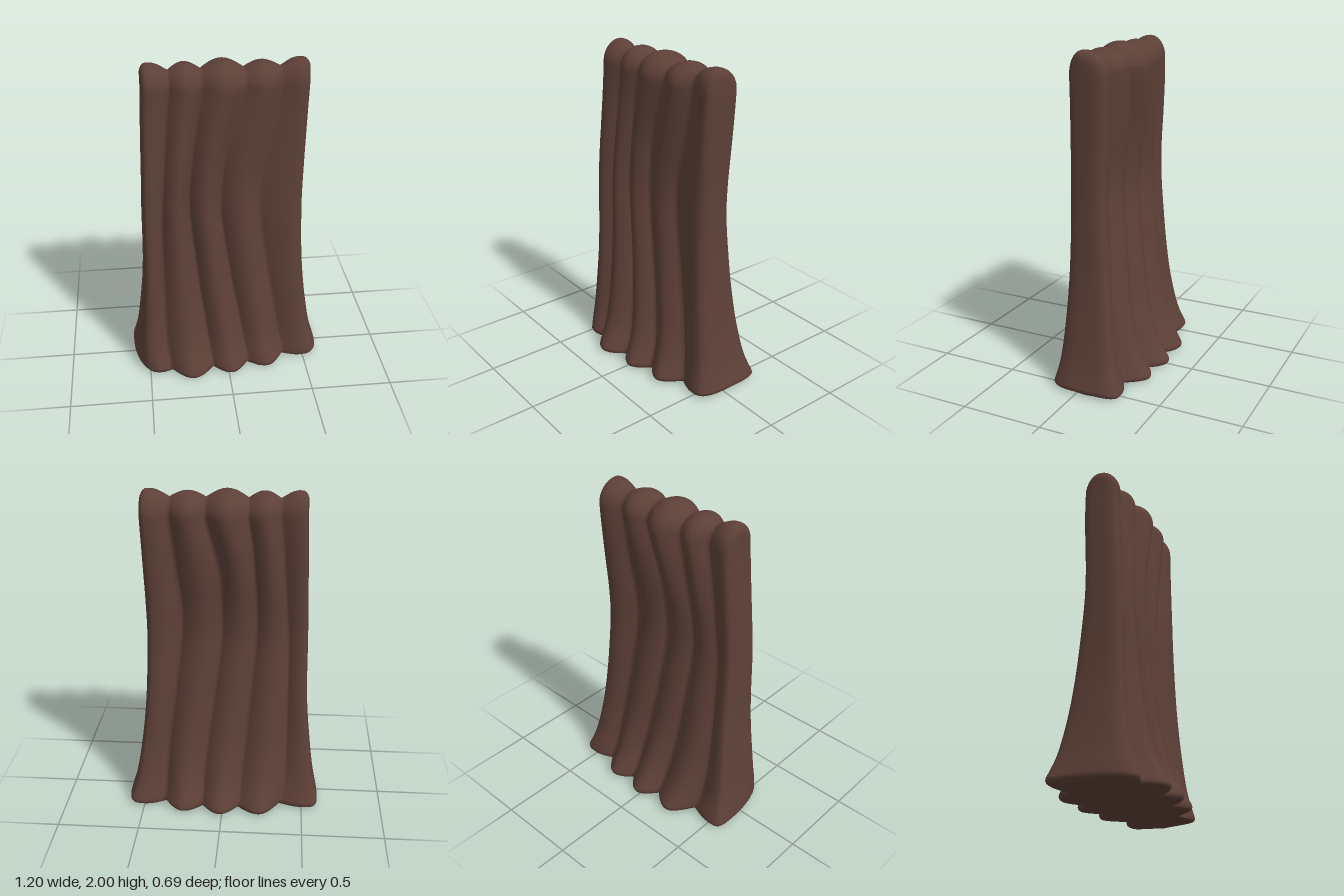
import * as THREE from 'three';
import { mergeVertices } from 'three/addons/utils/BufferGeometryUtils.js';

// Rows by height: y, left end, four grooves, right end, front flare, back flare, top swell
const LEVELS = [
  [0.00, -0.60, -0.365, -0.10, 0.13, 0.37, 0.60, 1.00, 1.00, 0],
  [0.04, -0.60, -0.365, -0.10, 0.13, 0.37, 0.60, 1.00, 1.00, 0],
  [0.10, -0.585, -0.375, -0.11, 0.115, 0.35, 0.58, 0.79, 0.84, 0],
  [0.20, -0.565, -0.385, -0.125, 0.10, 0.33, 0.555, 0.54, 0.65, 0],
  [0.40, -0.54, -0.39, -0.15, 0.065, 0.30, 0.522, 0.30, 0.42, 0],
  [0.60, -0.52, -0.39, -0.175, 0.03, 0.265, 0.498, 0.15, 0.28, 0],
  [0.80, -0.51, -0.39, -0.195, 0.00, 0.235, 0.483, 0.06, 0.17, 0],
  [1.10, -0.505, -0.385, -0.222, -0.035, 0.20, 0.472, 0, 0.03, 0.02],
  [1.30, -0.498, -0.37, -0.215, -0.025, 0.208, 0.474, 0, 0, 0.22],
  [1.50, -0.492, -0.355, -0.19, 0.00, 0.255, 0.479, 0, 0, 0.57],
  [1.70, -0.485, -0.338, -0.165, 0.06, 0.295, 0.485, 0, 0, 0.88],
  [1.86, -0.478, -0.32, -0.135, 0.11, 0.32, 0.49, 0, 0, 1],
  [2.00, -0.475, -0.31, -0.12, 0.12, 0.33, 0.49, 0, 0, 1],
];
const FLARE = { front: 7, back: 8 }, SWELL = 9;

// Depth of the five ridges and the four grooves between them
const DEPTH = {
  front: {
    base: { ridge: [0.26, 0.34, 0.31, 0.265, 0.175], groove: [0.235, 0.23, 0.205, 0.14] },
    mid: { ridge: [0.162, 0.165, 0.155, 0.135, 0.105], groove: [0.10, 0.08, 0.075, 0.06] },
    top: { ridge: [0.12, 0.13, 0.152, 0.13, 0.085], groove: [0.075, 0.085, 0.09, 0.06] },
  },
  back: {
    base: { ridge: [-0.23, -0.33, -0.345, -0.325, -0.26], groove: [-0.19, -0.25, -0.25, -0.21] },
    mid: { ridge: [-0.065, -0.07, -0.07, -0.08, -0.11], groove: [-0.035, -0.025, -0.025, -0.03] },
    top: { ridge: [-0.10, -0.145, -0.178, -0.15, -0.14], groove: [-0.07, -0.10, -0.10, -0.085] },
  },
};
// How far the back grooves bend less than the front ones at mid height
const BACK_SHIFT = [0, 0.03, 0.055, 0.065];
// Narrow ends at the foot, left then right: crest position from the end, squareness
const END = {
  front: [{ crest: 0.62, square: 2 }, { crest: 0.45, square: 3 }],
  back: [{ crest: 0.35, square: 4 }, { crest: 0.38, square: 4 }],
};
const END_SHIFT = [-0.115, 0];
const RIDGE_TOP = [1.995, 1.99, 2.0, 1.985, 1.995];
const GROOVE_TOP = 1.95;
const STEPS = 16; // samples across one ridge

// Smooth interpolation of one column of LEVELS
function level(y, col) {
  let k = 0;
  while (k < LEVELS.length - 2 && y > LEVELS[k + 1][0]) k++;
  const slope = (i) => {
    const a = LEVELS[Math.max(i - 1, 0)], b = LEVELS[Math.min(i + 1, LEVELS.length - 1)];
    return (b[col] - a[col]) / (b[0] - a[0]);
  };
  const p = LEVELS[k], q = LEVELS[k + 1], h = q[0] - p[0], t = (y - p[0]) / h;
  const s = t * t * (3 - 2 * t);
  return p[col] * (1 - s) + q[col] * s
    + h * (slope(k) * t * (1 - t) ** 2 - slope(k + 1) * t * t * (1 - t));
}

function depth(side, kind, i, y) {
  const d = DEPTH[side], m = d.mid[kind][i];
  return m + (d.base[kind][i] - m) * level(y, FLARE[side])
    + (d.top[kind][i] - m) * level(y, SWELL);
}

// How strongly a height belongs to the slim middle (1) rather than foot or top (0)
const waist = (y) => (1 - level(y, FLARE.front)) * (1 - level(y, SWELL));

function grooveX(side, i, y) {
  return level(y, i + 2) + (side === 'back' ? BACK_SHIFT[i] * waist(y) : 0);
}

// Middle ridge: t runs from groove to groove
function middlePoint(side, ridge, t, y) {
  const x0 = grooveX(side, ridge - 1, y), x1 = grooveX(side, ridge, y);
  const peak = depth(side, 'ridge', ridge, y);
  const valley = depth(side, 'groove', t < 0.5 ? ridge - 1 : ridge, y);
  const bump = Math.sin(Math.PI * t) ** (1 - 0.18 * waist(y));
  return {
    x: x0 + (x1 - x0) * t,
    z: valley + (peak - valley) * bump,
    top: GROOVE_TOP + (RIDGE_TOP[ridge] - GROOVE_TOP) * bump,
  };
}

// End ridge: t runs from the narrow end (0) over the crest (0.5) to the groove (1)
function endPoint(side, e, t, y) {
  const ridge = e * 4, flare = level(y, FLARE[side]);
  const tip = level(y, e ? 6 : 1), inner = grooveX(side, e * 3, y);
  const crest = THREE.MathUtils.lerp(0.34, END[side][e].crest, flare);
  const round = 2 / THREE.MathUtils.lerp(3, END[side][e].square, flare);
  const peak = depth(side, 'ridge', ridge, y);
  if (t < 0.5) {
    const angle = t * Math.PI, reach = Math.cos(angle) ** round;
    const centre = (depth('front', 'ridge', ridge, y) + depth('back', 'ridge', ridge, y)) / 2
      + END_SHIFT[e] * level(y, FLARE.front);
    return {
      x: tip + (inner - tip) * crest * (1 - reach),
      z: centre + (peak - centre) * Math.sin(angle) ** round,
      top: RIDGE_TOP[ridge] - 0.045 * reach ** 4,
    };
  }
  const valley = depth(side, 'groove', e * 3, y);
  const bump = Math.max(Math.sin(Math.PI * t), 0) ** (1.1 - 0.2 * waist(y));
  return {
    x: tip + (inner - tip) * (crest + (1 - crest) * (2 * t - 1)),
    z: valley + (peak - valley) * bump,
    top: GROOVE_TOP + (RIDGE_TOP[ridge] - GROOVE_TOP) * bump,
  };
}

// Row of points from the left end to the right end on one side
function row(side, y) {
  const pts = [];
  for (let i = 0; i <= 5 * STEPS; i++) {
    const ridge = Math.min(Math.floor(i / STEPS), 4), t = i / STEPS - ridge;
    if (ridge === 0) pts.push(endPoint(side, 0, t, y));
    else if (ridge === 4) pts.push(endPoint(side, 1, 1 - t, y));
    else pts.push(middlePoint(side, ridge, t, y));
  }
  return pts;
}

// Joins equal rows of points into a smooth surface
function skin(rows) {
  const n = rows[0].length, index = [];
  for (let j = 0; j < rows.length - 1; j++) {
    for (let i = 0; i < n - 1; i++) {
      const a = j * n + i, b = a + 1, c = b + n, d = a + n;
      index.push(a, b, c, a, c, d);
    }
  }
  const geo = new THREE.BufferGeometry();
  geo.setAttribute('position', new THREE.Float32BufferAttribute(rows.flat(2), 3));
  geo.setIndex(index);
  const merged = mergeVertices(geo, 1e-5);
  merged.computeVertexNormals();
  return merged;
}

// Full loop round the body; inset shrinks it, lift (0 to 1) rounds it over the top
function ring(y, inset = 1, lift = 0) {
  const angle = lift * Math.PI / 2;
  const pinch = lift === 1 ? 0 : Math.cos(angle);
  const place = (p) => [
    p.x * inset,
    lift ? y + (p.top - y) * Math.sin(angle) : y,
    p.z * inset * pinch,
  ];
  return [...row('front', y).map(place), ...row('back', y).reverse().map(place)];
}

export function createModel() {
  const group = new THREE.Group();
  group.name = 'ridgedTrunkSlab';
  const bark = new THREE.MeshStandardMaterial({ color: 0x5d4037 });
  bark.name = 'barkBrown';

  // Ridged body: small lip at the foot, flared base, rounded top
  const rings = [ring(0.008, 0.965), ring(0.014, 0.988), ring(0.026), ring(0.04)];
  for (let k = 1; k <= 44; k++) rings.push(ring(0.04 + (1.86 - 0.04) * k / 44));
  for (let k = 1; k <= 12; k++) rings.push(ring(1.86, 1, k / 12));
  const body = new THREE.Mesh(skin(rings), bark);
  body.name = 'ridgedBody';
  group.add(body);

  // Nearly flat underside
  const edge = (side) => row(side, 0.008).map((p) => [p.x * 0.965, 0.008, p.z * 0.965]);
  const back = edge('back'), front = edge('front');
  const middle = back.map((p, i) => [
    (p[0] + front[i][0]) / 2,
    i === 0 || i === back.length - 1 ? 0.008 : 0,
    (p[2] + front[i][2]) / 2,
  ]);
  const underside = new THREE.Mesh(skin([back, middle, front]), bark);
  underside.name = 'underside';
  group.add(underside);

  return group;
}
